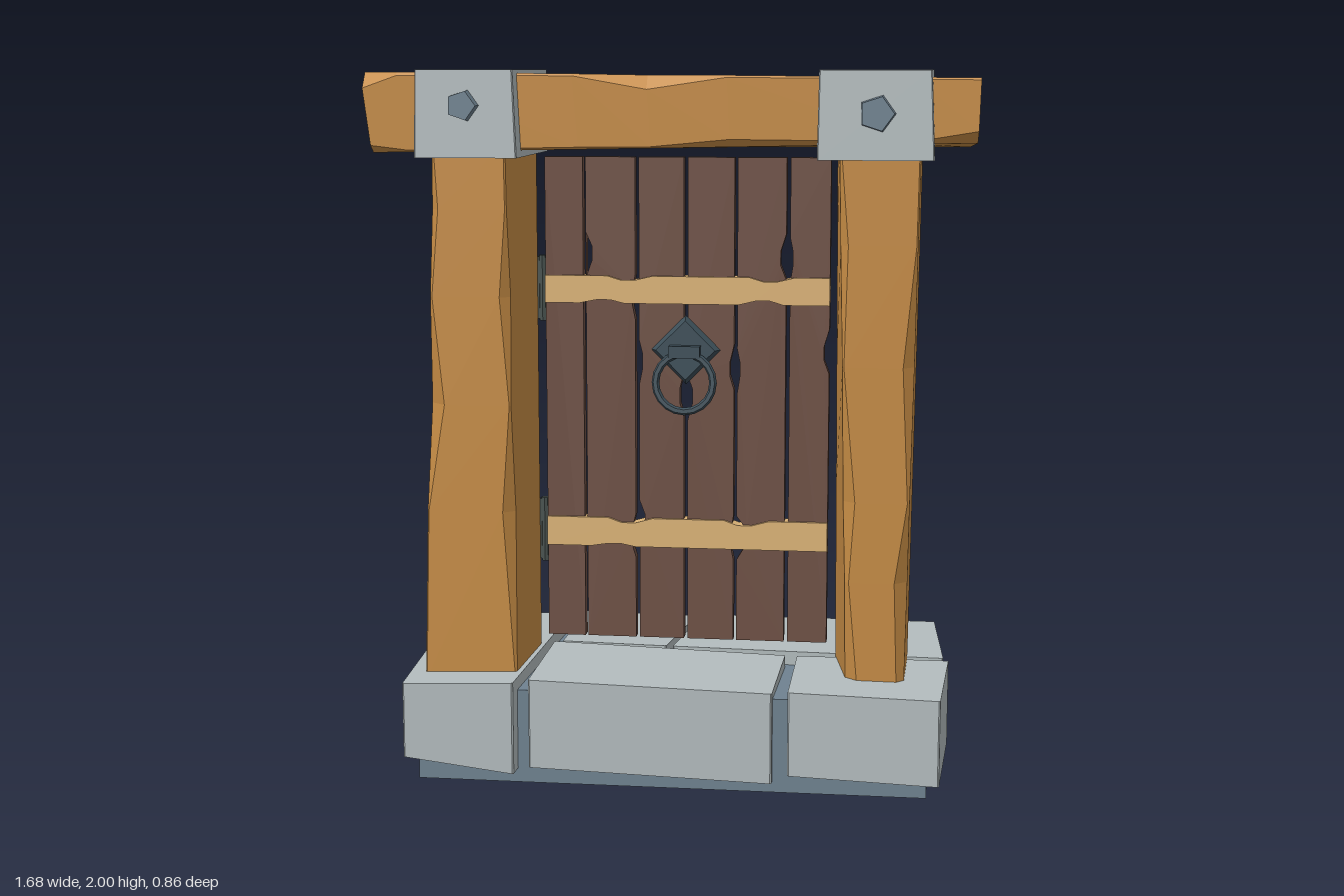
import * as THREE from 'three';

const mat = (color) => new THREE.MeshStandardMaterial({ color, flatShading: true, roughness: 0.9 });

// Hewn block: lofts four corners at one end to four at the other.
// cuts = [t, c0, c1, c2, c3]: how deep each corner is chipped at t along the block.
function hewn(start, end, cuts) {
  const rings = cuts.map(([t, ...cut]) => {
    const q = start.map((p, i) => new THREE.Vector3(...p).lerp(new THREE.Vector3(...end[i]), t));
    return q.flatMap((p, i) => [q[(i + 3) % 4], q[(i + 1) % 4]].map((n) =>
      p.clone().add(n.clone().sub(p).setLength(cut[i]))));
  });
  const pos = [];
  const tri = (...v) => v.forEach((p) => pos.push(p.x, p.y, p.z));
  for (let i = 0; i < rings.length - 1; i++) {
    for (let j = 0; j < 8; j++) {
      const k = (j + 1) % 8, a = rings[i], b = rings[i + 1];
      tri(a[j], a[k], b[k]);
      tri(a[j], b[k], b[j]);
    }
  }
  const last = rings[rings.length - 1];
  for (let j = 1; j < 7; j++) {
    tri(rings[0][0], rings[0][j + 1], rings[0][j]);
    tri(last[0], last[j], last[j + 1]);
  }
  const g = new THREE.BufferGeometry();
  g.setAttribute('position', new THREE.Float32BufferAttribute(pos, 3));
  g.computeVertexNormals();
  return g;
}

// Plank outline with notches [position along length, depth] on both long edges
function notched(len, w0, w1, low, high, depth, upright) {
  const pts = [[0, w0]];
  low.forEach(([p, d]) => pts.push([p - 0.07, w0], [p - 0.02, w0 + d], [p + 0.02, w0 + d], [p + 0.06, w0]));
  pts.push([len, w0], [len, w1]);
  [...high].reverse().forEach(([p, d]) => pts.push([p + 0.07, w1], [p + 0.02, w1 - d], [p - 0.02, w1 - d], [p - 0.06, w1]));
  pts.push([0, w1]);
  const shape = new THREE.Shape(pts.map(([a, b]) => (upright ? new THREE.Vector2(b, a) : new THREE.Vector2(a, b))));
  return new THREE.ExtrudeGeometry(shape, { depth, bevelEnabled: false });
}

export function createModel() {
  const model = new THREE.Group();
  const wood = mat(0xc68c45), plankWood = mat(0x6e5044), strapWood = mat(0xdcb377);
  const stone = mat(0xb3bcbe), slabStone = mat(0x6f8290), iron = mat(0x3c4e58), hingeIron = mat(0x48524f);

  const add = (name, geo, material, x = 0, y = 0, z = 0, parent = model) => {
    const m = new THREE.Mesh(geo, material);
    m.name = name;
    m.position.set(x, y, z);
    parent.add(m);
    return m;
  };
  const box = (name, x0, x1, y0, y1, z0, z1, material, parent) =>
    add(name, new THREE.BoxGeometry(x1 - x0, y1 - y0, z1 - z0), material,
      (x0 + x1) / 2, (y0 + y1) / 2, (z0 + z1) / 2, parent);
  const plain = (c) => [[0, c, c, c, c], [1, c, c, c, c]];

  // Foundation slab and the stones around it
  box('foundationSlab', -0.71, 0.73, 0, 0.27, -0.355, 0.31, slabStone);
  // Plan corners: front right, front left, back left, back right; with bottom and top heights
  const stones = [
    ['endStone', [[-0.74, 0.37], [-0.425, 0.365], [-0.39, -0.41], [-0.775, -0.39]], [0.08, 0.04, 0.06, 0.07], [0.295, 0.305, 0.315, 0.295]],
    ['frontMiddleStone', [[-0.385, 0.345], [0.3, 0.33], [0.31, -0.02], [-0.375, -0.02]], [0.055, 0.03, 0.05, 0.06], [0.31, 0.29, 0.305, 0.325]],
    ['frontCornerStone', [[0.345, 0.345], [0.765, 0.36], [0.785, -0.02], [0.345, -0.02]], [0.06, 0.05, 0.06, 0.06], [0.3, 0.295, 0.305, 0.305]],
    ['backMiddleStone', [[-0.355, -0.045], [-0.045, -0.045], [0.0, -0.43], [-0.35, -0.43]], [0.17, 0.17, 0.17, 0.17], [0.32, 0.315, 0.31, 0.315]],
    ['backCornerStone', [[-0.025, -0.045], [0.77, -0.045], [0.74, -0.43], [0.02, -0.43]], [0.06, 0.06, 0.065, 0.065], [0.315, 0.305, 0.315, 0.315]],
  ];
  stones.forEach(([name, plan, low, high]) => add(name, hewn(
    plan.map(([x, z], i) => [x, low[i], z]), plan.map(([x, z], i) => [x, high[i], z]), plain(0.004)), stone));

  // Posts, tapering and chipped along the front edges
  add('rightPost', hewn(
    [[-0.7, 0.28, 0.255], [-0.435, 0.28, 0.25], [-0.42, 0.28, -0.05], [-0.69, 0.28, -0.05]],
    [[-0.66, 1.8, 0.235], [-0.455, 1.8, 0.235], [-0.42, 1.8, -0.05], [-0.66, 1.8, -0.05]],
    [[0, 0.004, 0.004, 0.003, 0.003], [0.32, 0.004, 0.03, 0.003, 0.003], [0.52, 0.045, 0.004, 0.003, 0.003],
      [0.72, 0.006, 0.025, 0.003, 0.003], [0.88, 0.02, 0.004, 0.003, 0.003], [1, 0.004, 0.004, 0.003, 0.003]]), wood);
  add('leftPost', hewn(
    [[0.5, 0.28, 0.205], [0.66, 0.28, 0.205], [0.665, 0.28, -0.05], [0.455, 0.28, -0.05]],
    [[0.465, 1.8, 0.225], [0.685, 1.8, 0.225], [0.685, 1.8, -0.05], [0.445, 1.8, -0.05]],
    [[0, 0.03, 0.02, 0.003, 0.003], [0.2, 0.01, 0.035, 0.003, 0.003], [0.35, 0.03, 0.006, 0.003, 0.003],
      [0.6, 0.004, 0.03, 0.003, 0.003], [0.82, 0.02, 0.004, 0.003, 0.003], [1, 0.004, 0.004, 0.003, 0.003]]), wood);

  // Lintel beam, slightly twisted towards its thinner end
  add('lintel', hewn(
    [[-0.81, 1.775, -0.148], [-0.815, 1.985, -0.148], [-0.842, 1.995, 0.295], [-0.815, 1.775, 0.29]],
    [[0.815, 1.785, -0.05], [0.82, 1.945, -0.055], [0.84, 1.98, 0.342], [0.835, 1.81, 0.338]],
    [[0, 0.01, 0.01, 0.045, 0.02], [0.06, 0.006, 0.006, 0.01, 0.006], [0.35, 0.004, 0.004, 0.006, 0.006],
      [0.47, 0.004, 0.004, 0.04, 0.004], [0.6, 0.004, 0.004, 0.006, 0.02], [0.9, 0.004, 0.004, 0.006, 0.006],
      [1, 0.004, 0.006, 0.006, 0.03]]), wood);

  // Brackets clasping the joints, each with a five-sided bolt
  const bracket = (side, x0, x1, z0, z1, bx, by, r) => {
    add(side + 'Bracket', hewn(
      [[x0 - 0.004, 1.765, z1], [x1 + 0.01, 1.765, z1], [x1, 1.765, z0], [x0, 1.765, z0]],
      [[x0, 2, z1 - 0.005], [x1, 2, z1 - 0.005], [x1, 2, z0], [x0, 2, z0]], plain(0.003)), stone);
    const bolt = add(side + 'Bolt', new THREE.CylinderGeometry(r * 0.9, r, 0.045, 5), slabStone, bx, by, z1 + 0.005);
    bolt.rotation.set(Math.PI / 2, Math.PI / 2, 0);
  };
  bracket('right', -0.672, -0.405, -0.14, 0.37, -0.54, 1.905, 0.045);
  bracket('left', 0.418, 0.712, -0.11, 0.403, 0.57, 1.887, 0.052);

  // Door planks: x range, then notches on the low-x and high-x edges
  const door = new THREE.Group();
  door.name = 'door';
  model.add(door);
  const planks = [
    [-0.39, -0.28, [], [[0.9, 0.012], [0.3, 0.005]]],
    [-0.272, -0.129, [[1.13, 0.018], [0.85, 0.015]], [[0.3, 0.012], [1.0, 0.008]]],
    [-0.118, 0.012, [[0.35, 0.015], [0.82, 0.01]], [[0.72, 0.012]]],
    [0.023, 0.157, [[0.72, 0.014]], [[0.3, 0.008], [0.8, 0.012]]],
    [0.166, 0.305, [[0.31, 0.03], [0.8, 0.008]], [[1.12, 0.016]]],
    [0.316, 0.43, [[1.12, 0.008]], [[0.85, 0.015]]],
  ];
  planks.forEach(([x0, x1, l, r], i) =>
    add('plank' + (i + 1), notched(1.405, x0, x1, l, r, 0.035, true), plankWood, 0, 0.35, -0.045, door));

  // Cross straps through the door
  add('upperStrap', notched(0.82, 1.337, 1.416, [[0.17, 0.01], [0.63, 0.012]], [[0.24, 0.012], [0.65, 0.012]], 0.052, false),
    strapWood, -0.39, 0, -0.052, door);
  add('lowerStrap', notched(0.82, 0.623, 0.708, [[0.2, 0.008]], [[0.24, 0.014], [0.58, 0.014]], 0.052, false),
    strapWood, -0.39, 0, -0.052, door);

  // Hinges on the back, with a pin between the leaves
  [1.375, 0.66].forEach((y, i) => {
    const hinge = new THREE.Group();
    hinge.name = i ? 'lowerHinge' : 'upperHinge';
    door.add(hinge);
    box('postLeaf', -0.465, -0.412, y - 0.09, y + 0.09, -0.062, -0.045, hingeIron, hinge);
    box('doorLeaf', -0.398, -0.345, y - 0.09, y + 0.09, -0.062, -0.045, hingeIron, hinge);
    add('pin', new THREE.CylinderGeometry(0.012, 0.012, 0.19, 8), hingeIron, -0.405, y, -0.05, hinge);
  });

  // Knocker: diamond plate, holder and ring
  const knocker = new THREE.Group();
  knocker.name = 'knocker';
  knocker.position.set(0.018, 1.205, -0.01);
  door.add(knocker);
  const plate = add('knockerPlate', new THREE.CylinderGeometry(0.085, 0.1, 0.02, 4), iron, 0, 0, 0.01, knocker);
  plate.rotation.x = Math.PI / 2;
  box('ringHolder', -0.045, 0.045, -0.02, 0.015, 0.01, 0.05, iron, knocker);
  const ring = add('knockerRing', new THREE.TorusGeometry(0.083, 0.011, 6, 20), iron, 0, -0.09, 0.042, knocker);
  ring.rotation.x = -0.08;

  return model;
}
